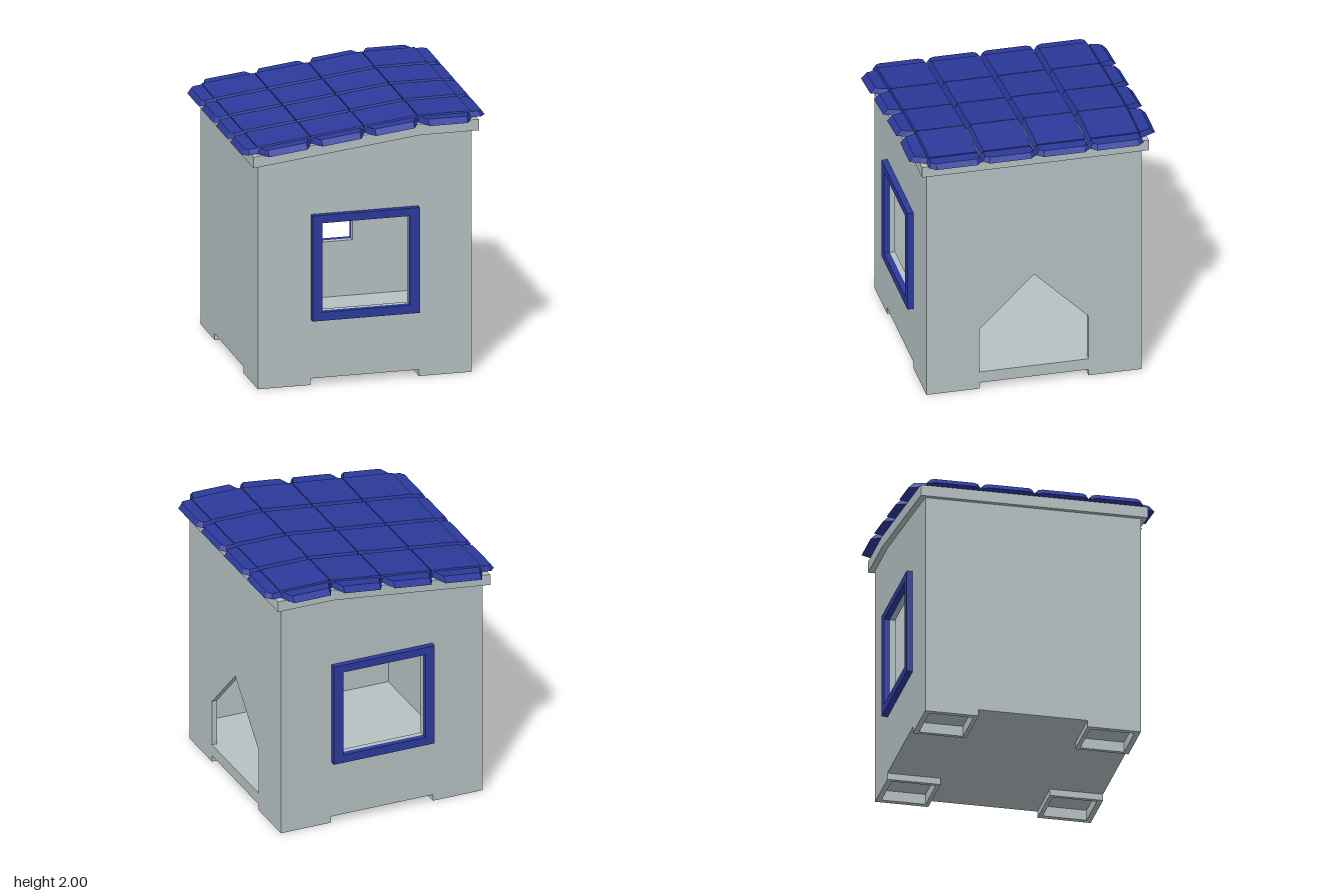
import * as THREE from 'three';

const wallMat = new THREE.MeshStandardMaterial({ color: 0xb5c1c2 });
wallMat.name = 'pale grey';
const blueMat = new THREE.MeshStandardMaterial({ color: 0x2c3a9c });
blueMat.name = 'deep blue';

const W = 0.81, T = 0.04, FOOT = 0.41, NOTCH = 0.05;
const BEND = 0.41, SLOPE = 0.119;

// height of the roof line: level on the high side, sloping down towards -x
const slope = (x) => -Math.max(0, BEND - x) * SLOPE;
const roofTop = (x) => 1.95 + slope(x);
const roofBottom = (x) => 1.865 + slope(x);

const poly = (pts) => new THREE.Shape(pts.map(([x, y]) => new THREE.Vector2(x, y)));
const hole = (pts) => new THREE.Path(pts.map(([x, y]) => new THREE.Vector2(x, y)));
const rect = (w, y0, y1) => [[-w, y0], [w, y0], [w, y1], [-w, y1]];
const extrude = (shape, depth) =>
  new THREE.ExtrudeGeometry(shape, { depth, bevelEnabled: false });

// flat-faced block between a lower and an upper outline of [x, z] points
function loft(lower, upper, y0, y1) {
  let area = 0;
  lower.forEach(([x, z], i) => {
    const [nx, nz] = lower[(i + 1) % lower.length];
    area += x * nz - nx * z;
  });
  if (area > 0) { lower = [...lower].reverse(); upper = [...upper].reverse(); }
  const at = (y) => ([x, z]) => [x, y + roofTop(x), z];
  const a = lower.map(at(y0)), b = upper.map(at(y1)), v = [], n = a.length;
  for (let i = 0; i < n; i++) {
    const j = (i + 1) % n;
    v.push(...a[i], ...a[j], ...b[j], ...a[i], ...b[j], ...b[i]);
    if (i > 0 && i < n - 1) v.push(...b[0], ...b[i], ...b[j], ...a[0], ...a[j], ...a[i]);
  }
  const g = new THREE.BufferGeometry();
  g.setAttribute('position', new THREE.Float32BufferAttribute(v, 3));
  g.computeVertexNormals();
  return g;
}

export function createModel() {
  const model = new THREE.Group();
  model.name = 'petHouse';
  const add = (name, geo, mat, x = 0, y = 0, z = 0) => {
    const m = new THREE.Mesh(geo, mat);
    m.name = name;
    m.position.set(x, y, z);
    model.add(m);
    return m;
  };
  const box = (name, w, h, d, x, y, z) =>
    add(name, new THREE.BoxGeometry(w, h, d), wallMat, x, y, z);

  // front and back walls with a window
  const wall = poly([
    [-W, 0], [-FOOT, 0], [-FOOT, NOTCH], [FOOT, NOTCH], [FOOT, 0], [W, 0],
    [W, roofBottom(W)], [BEND, roofBottom(BEND)], [-W, roofBottom(-W)],
  ]);
  const opening = rect(0.33, 0.565, 1.25);
  wall.holes.push(hole(opening));
  const wallGeo = extrude(wall, T);
  add('frontWall', wallGeo, wallMat, 0, 0, W - T);
  add('backWall', wallGeo, wallMat, 0, 0, -W);

  // side walls, one with a pointed doorway
  const side = (top) => poly([
    [-W + T, 0], [-FOOT, 0], [-FOOT, NOTCH], [FOOT, NOTCH], [FOOT, 0], [W - T, 0],
    [W - T, top], [-W + T, top],
  ]);
  const doorSide = side(roofBottom(W));
  doorSide.holes.push(hole([[-0.41, 0.14], [0.41, 0.14], [0.41, 0.5], [0, 0.91], [-0.41, 0.5]]));
  add('doorWall', extrude(doorSide, T).rotateY(Math.PI / 2), wallMat, W - T);
  add('plainWall', extrude(side(roofBottom(-W)), T).rotateY(Math.PI / 2), wallMat, -W);

  // window frames
  const frame = poly(rect(0.405, 0.5, 1.31));
  frame.holes.push(hole(opening));
  const frameGeo = extrude(frame, 0.045);
  add('frontWindowFrame', frameGeo, blueMat, 0, 0, W);
  add('backWindowFrame', frameGeo, blueMat, 0, 0, -W - 0.045);

  // floor with a lower cross-shaped plate
  const inner = W - T, arm = inner - FOOT;
  box('floor', inner * 2, 0.06, inner * 2, 0, 0.11, 0);
  box('floorPlate', FOOT * 2, 0.03, inner * 2, 0, 0.065, 0);
  for (const s of [-1, 1]) {
    box('floorPlateArm', arm, 0.03, FOOT * 2, s * (FOOT + arm / 2), 0.065, 0);
  }

  // inner sides of the hollow corner feet
  const t = 0.03;
  for (const sx of [-1, 1]) for (const sz of [-1, 1]) {
    box('footSide', t, 0.08, arm, sx * (FOOT + t / 2), 0.04, sz * (FOOT + arm / 2));
    box('footSide', arm - t, 0.08, t, sx * (FOOT + (arm + t) / 2), 0.04, sz * (FOOT + t / 2));
  }

  // roof slab
  const E = 0.853;
  const slab = poly([
    [-E, roofBottom(-E)], [BEND, roofBottom(BEND)], [E, roofBottom(E)],
    [E, roofTop(E)], [BEND, roofTop(BEND)], [-E, roofTop(-E)],
  ]);
  add('roofSlab', extrude(slab, E * 2), wallMat, 0, 0, -E);

  // roof tiles: bevelled field tiles, then tapered tiles on all four edges
  const P = 0.405;
  const mid = (i) => (i - 1.5) * P;
  const quad = (cx, cz, hx, hz) =>
    [[cx - hx, cz - hz], [cx + hx, cz - hz], [cx + hx, cz + hz], [cx - hx, cz + hz]];
  // symmetric outline from [distance outwards, half width] pairs
  const taper = (pairs) => [
    ...pairs.map(([d, h]) => [d, h]),
    ...[...pairs].reverse().map(([d, h]) => [d, -h]),
  ];
  const xLow = taper([[0.8, 0.2], [0.88, 0.2], [0.922, 0.155]]);
  const xHigh = taper([[0.8, 0.18], [0.87, 0.18], [0.895, 0.15]]);
  const zLow = taper([[0.8, 0.202], [0.88, 0.168], [0.925, 0.145]]);
  const zHigh = taper([[0.8, 0.182], [0.87, 0.155], [0.885, 0.145]]);
  for (let i = 0; i < 4; i++) {
    const c = mid(i);
    for (let j = 0; j < 4; j++) {
      add('roofTile', loft(quad(c, mid(j), 0.2025, 0.2), quad(c, mid(j), 0.199, 0.18), 0, 0.05), blueMat);
    }
    for (const s of [-1, 1]) {
      const alongX = (pts) => pts.map(([d, h]) => [s * d, c + h]);
      const alongZ = (pts) => pts.map(([d, h]) => [c + h, s * d]);
      add('sideEdgeTile', loft(alongX(xLow), alongX(xHigh), 0.005, 0.042), blueMat);
      add('endEdgeTile', loft(alongZ(zLow), alongZ(zHigh), 0.002, 0.042), blueMat);
    }
  }
  return model;
}
